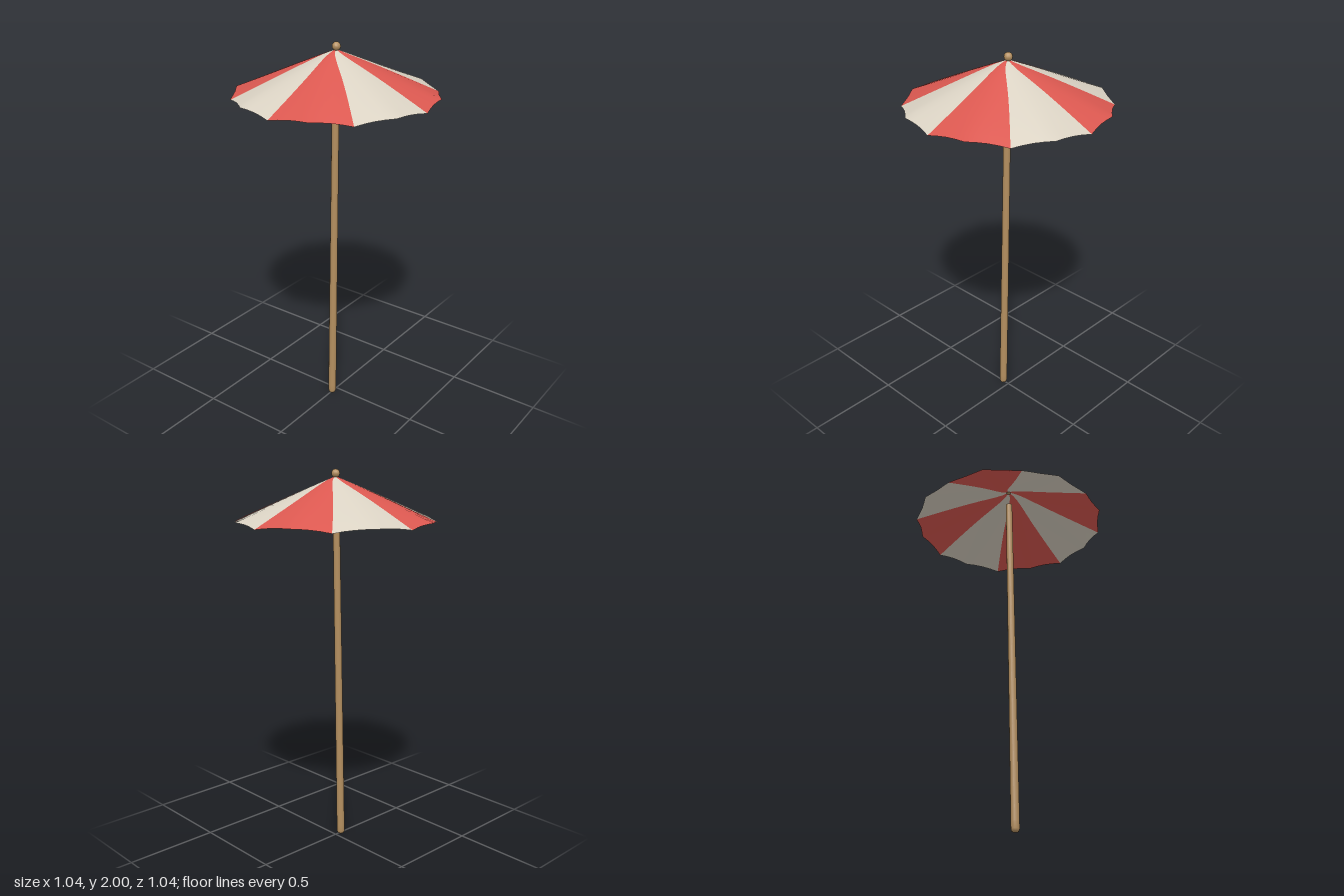
import * as THREE from 'three';

const RADIUS = 0.52, APEX = 1.965, DROP = 0.23;
const SIDES = 64, RINGS = 14;

// Point on the canopy: t runs from apex to rim, a around the y axis
function canopyPoint(t, a) {
  const scallop = 0.017 * Math.abs(Math.sin(8 * a)) * t ** 4;   // 16 rim tips
  const lift = 0.016 * Math.abs(Math.sin(4 * a)) ** 0.8 * t * t; // cloth rises between the 8 ribs
  const r = RADIUS * t - scallop;
  const swirl = 0.55 * Math.exp(-r / 0.07);                      // seams twist close to the apex
  const y = APEX - DROP * t ** 1.04 + lift;
  return [r * Math.cos(a + swirl), y, r * Math.sin(a + swirl)];
}

function canopyGeometry() {
  const positions = [], index = [];
  for (let i = 0; i <= RINGS; i++) {
    for (let j = 0; j < SIDES; j++) {
      positions.push(...canopyPoint(Math.max(0.012, (i / RINGS) ** 1.4), (j / SIDES) * Math.PI * 2));
    }
  }
  const geo = new THREE.BufferGeometry();
  // Eight panels of alternating colour, one group each
  const panel = SIDES / 8;
  for (let p = 0; p < 8; p++) {
    const start = index.length;
    for (let j = p * panel; j < (p + 1) * panel; j++) {
      const k = (j + 1) % SIDES;
      for (let i = 0; i < RINGS; i++) {
        const a = i * SIDES + j, b = i * SIDES + k;
        const c = a + SIDES, d = b + SIDES;
        index.push(a, b, c, b, d, c);
      }
    }
    geo.addGroup(start, index.length - start, p % 2);
  }
  geo.setAttribute('position', new THREE.Float32BufferAttribute(positions, 3));
  geo.setIndex(index);
  geo.computeVertexNormals();
  return geo;
}

// Tapered pole with a bevelled foot, leaning slightly towards the apex
function poleGeometry() {
  const profile = [[0, 0], [0.017, 0], [0.022, 0.014], [0.022, 0.05], [0.018, 1.875], [0.014, 1.88], [0, 1.88]];
  const geo = new THREE.LatheGeometry(profile.map(([x, y]) => new THREE.Vector2(x, y)), 12);
  const pos = geo.attributes.position;
  for (let i = 0; i < pos.count; i++) {
    pos.setX(i, pos.getX(i) - 0.04 + 0.02 * pos.getY(i));
  }
  return geo;
}

export function createModel() {
  const material = (name, color, side = THREE.FrontSide) => {
    const m = new THREE.MeshStandardMaterial({ color, side });
    m.name = name;
    return m;
  };
  const cream = material('cream cloth', 0xdad2c3, THREE.DoubleSide);
  const red = material('red cloth', 0xdb5850, THREE.DoubleSide);
  const wood = material('wood', 0xb48f5f);

  const model = new THREE.Group();
  model.name = 'parasol';
  const add = (name, geo, mat) => {
    const mesh = new THREE.Mesh(geo, mat);
    mesh.name = name;
    model.add(mesh);
    return mesh;
  };

  add('canopy', canopyGeometry(), [cream, red]);
  add('pole', poleGeometry(), wood);
  add('finial', new THREE.SphereGeometry(0.022, 12, 8), wood).position.y = 1.978;
  return model;
}
